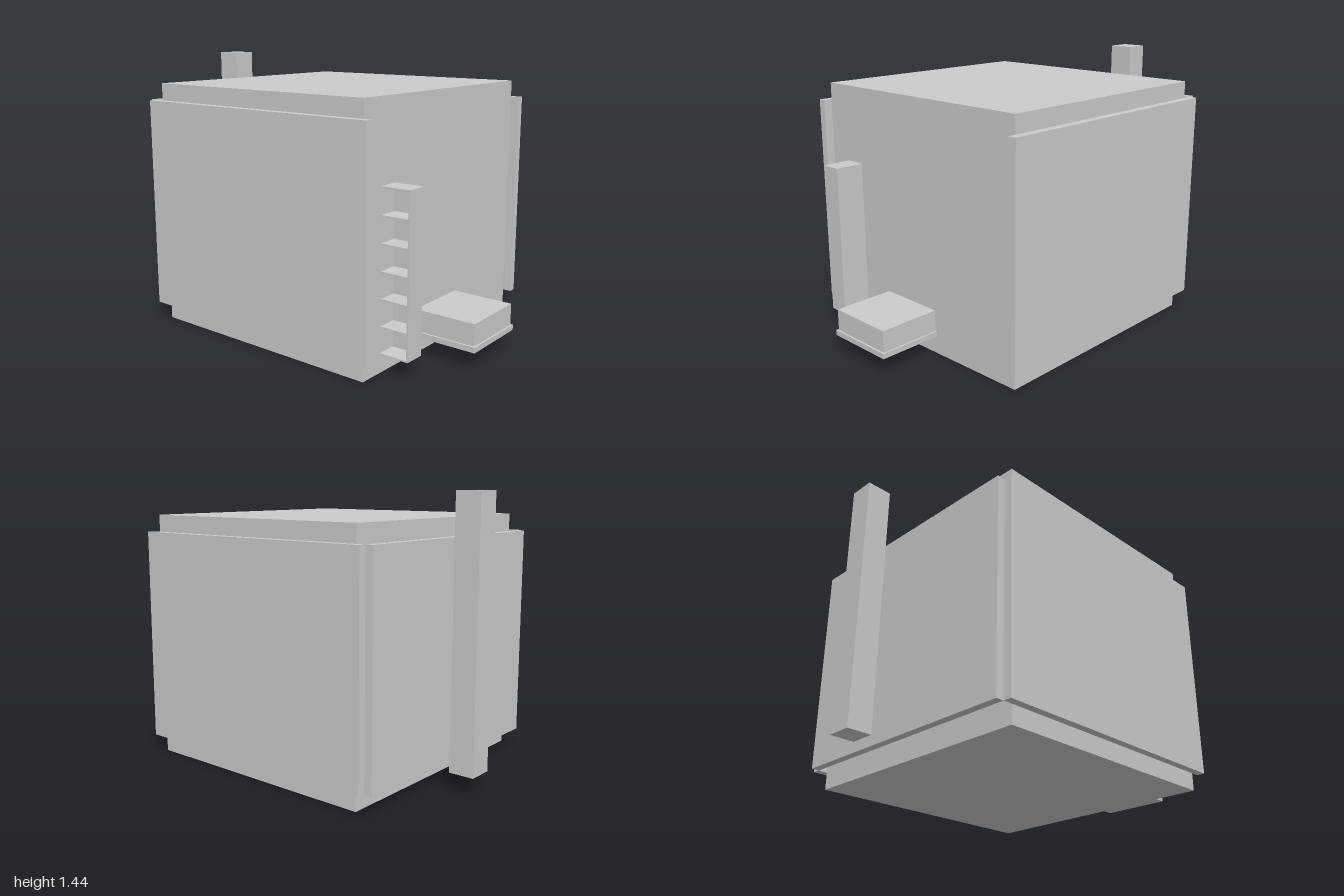
import * as THREE from 'three';

export function createModel() {
  const model = new THREE.Group();
  const grey = new THREE.MeshStandardMaterial({ color: 0xcccccc });
  grey.name = 'lightGrey';

  // Box given by its [min, max] range on each axis
  function addBox(parent, name, [x0, x1], [y0, y1], [z0, z1]) {
    const mesh = new THREE.Mesh(new THREE.BoxGeometry(x1 - x0, y1 - y0, z1 - z0), grey);
    mesh.position.set((x0 + x1) / 2, (y0 + y1) / 2, (z0 + z1) / 2);
    mesh.name = name;
    parent.add(mesh);
  }

  // Main block
  addBox(model, 'mainBlock', [-0.685, 0.66], [0, 1.305], [-0.674, 0.674]);

  // Wall slabs on the front, back and right
  const wallY = [0.092, 1.215];
  addBox(model, 'frontWall', [-0.735, 0.705], wallY, [0.676, 0.718]);
  addBox(model, 'backWall', [-0.735, 0.705], wallY, [-0.718, -0.676]);
  addBox(model, 'rightWall', [-0.776, -0.734], wallY, [-0.674, 0.674]);

  // Free-standing column
  addBox(model, 'column', [-1, -0.868], [0.092, 1.44], [-0.181, -0.046]);

  // Bench: base slab and seat block
  const bench = new THREE.Group();
  bench.name = 'bench';
  addBox(bench, 'benchBase', [0.66, 1], [0.092, 0.12], [-0.133, 0.252]);
  addBox(bench, 'benchSeat', [0.66, 0.99], [0.12, 0.232], [-0.124, 0.242]);
  model.add(bench);

  // Narrow shelf unit, open at the front
  const shelfUnit = new THREE.Group();
  shelfUnit.name = 'shelfUnit';
  addBox(shelfUnit, 'shelfSide', [0.808, 0.817], [0.092, 0.9], [0.431, 0.543]);
  addBox(shelfUnit, 'shelfBack', [0.66, 0.808], [0.092, 0.9], [0.431, 0.438]);
  for (let i = 0; i < 7; i++) {
    const y = 0.092 + i * 0.1334;
    addBox(shelfUnit, 'shelf' + (i + 1), [0.66, 0.808], [y, y + 0.0076], [0.438, 0.543]);
  }
  model.add(shelfUnit);

  return model;
}
